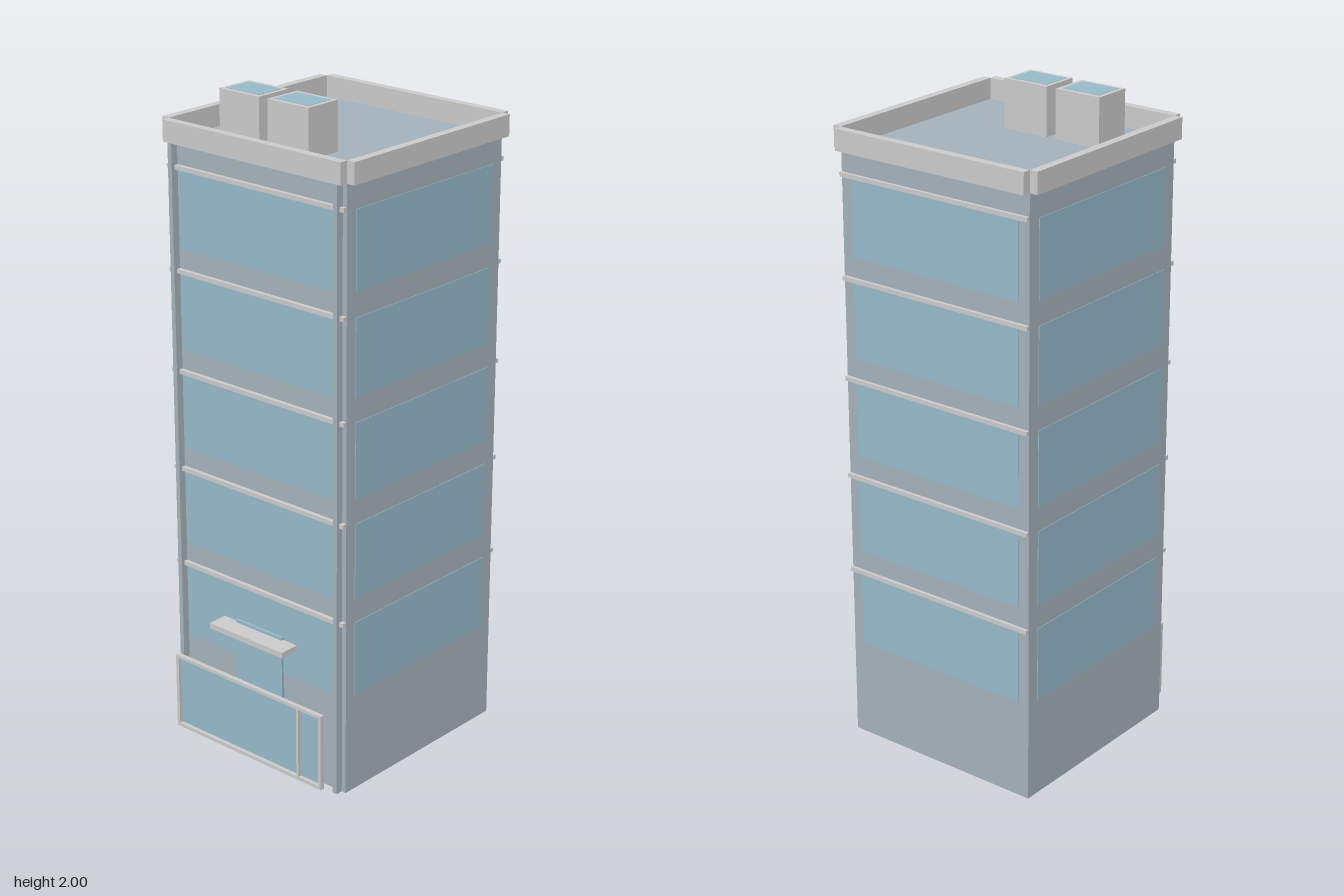
import * as THREE from 'three';

const trimMat = new THREE.MeshStandardMaterial({ color: 0xcccccc });
const wallMat = new THREE.MeshStandardMaterial({ color: 0xa5b2bb });
const glassMat = new THREE.MeshStandardMaterial({ color: 0x96bac9 });

export function createModel() {
  const model = new THREE.Group();
  model.name = 'officeBuilding';

  // Box given by its minimum and maximum on each axis
  function box(name, mat, [x0, x1], [y0, y1], [z0, z1]) {
    const mesh = new THREE.Mesh(new THREE.BoxGeometry(x1 - x0, y1 - y0, z1 - z0), mat);
    mesh.position.set((x0 + x1) / 2, (y0 + y1) / 2, (z0 + z1) / 2);
    mesh.name = name;
    model.add(mesh);
    return mesh;
  }

  const W = 0.333, FRONT = 0.312, BACK = -0.354, ROOF = 1.852;
  const SKIN = 0.002; // how far the glass stands off the wall

  // Main block
  box('walls', wallMat, [-W, W], [0, ROOF], [BACK, FRONT]);

  // Five floors of windows on every side, with a ledge above front and back
  for (let i = 0; i < 5; i++) {
    const y = 0.31 + i * 0.3075, rows = [y, y + 0.234];
    box('frontWindow', glassMat, [-0.297, 0.297], rows, [FRONT - 0.01, FRONT + SKIN]);
    box('backWindow', glassMat, [-0.297, 0.297], rows, [BACK - SKIN, BACK + 0.01]);
    box('leftWindow', glassMat, [W - 0.01, W + SKIN], rows, [-0.313, 0.275]);
    box('rightWindow', glassMat, [-W - SKIN, -W + 0.01], rows, [-0.313, 0.275]);
    const ledge = [y + 0.234, y + 0.247];
    box('frontLedge', trimMat, [-W, W], ledge, [FRONT, FRONT + 0.013]);
    box('backLedge', trimMat, [-W, W], ledge, [BACK - 0.011, BACK]);
  }

  // Front corner strips
  for (const s of [-1, 1]) {
    const xs = s > 0 ? [0.303, 0.318] : [-0.318, -0.303];
    box('cornerStrip', wallMat, xs, [0, ROOF], [FRONT, 0.335]);
  }

  // Parapet: four slabs outside the roof edge, leaving notched corners
  const wallTop = [ROOF, 1.916], T = 0.026;
  box('parapetFront', trimMat, [-W, W], wallTop, [FRONT, FRONT + T]);
  box('parapetBack', trimMat, [-W, W], wallTop, [BACK - T, BACK]);
  box('parapetLeft', trimMat, [W, W + T], wallTop, [BACK, FRONT]);
  box('parapetRight', trimMat, [-W - T, -W], wallTop, [BACK, FRONT]);

  // Roof units with a glazed top
  for (const x of [-0.156, 0.028]) {
    box('roofUnit', trimMat, [x - 0.076, x + 0.076], [ROOF, 1.999], [0.089, 0.211]);
    box('roofUnitGlass', glassMat, [x - 0.063, x + 0.063], [1.98, 2], [0.104, 0.197]);
  }

  // Entrance door and canopy
  box('door', glassMat, [-0.094, 0.091], [0, 0.43], [FRONT, 0.322]);
  box('canopy', trimMat, [-0.147, 0.145], [0.403, 0.421], [FRONT, 0.378]);

  // Shopfront frame with two openings, glazed from behind
  const rect = (shape, x0, x1, y0, y1) => shape.moveTo(x0, y0).lineTo(x1, y0)
    .lineTo(x1, y1).lineTo(x0, y1).closePath();
  const outline = rect(new THREE.Shape(), -0.296, 0.293, 0.022, 0.265);
  outline.holes.push(
    rect(new THREE.Path(), -0.285, 0.197, 0.033, 0.255),
    rect(new THREE.Path(), 0.205, 0.283, 0.033, 0.255));
  const frame = new THREE.Mesh(
    new THREE.ExtrudeGeometry(outline, { depth: 0.014, bevelEnabled: false }), trimMat);
  frame.position.z = 0.363;
  frame.name = 'shopfrontFrame';
  model.add(frame);
  box('shopfrontGlass', glassMat, [-0.285, 0.283], [0.033, 0.255], [0.357, 0.365]);

  return model;
}
